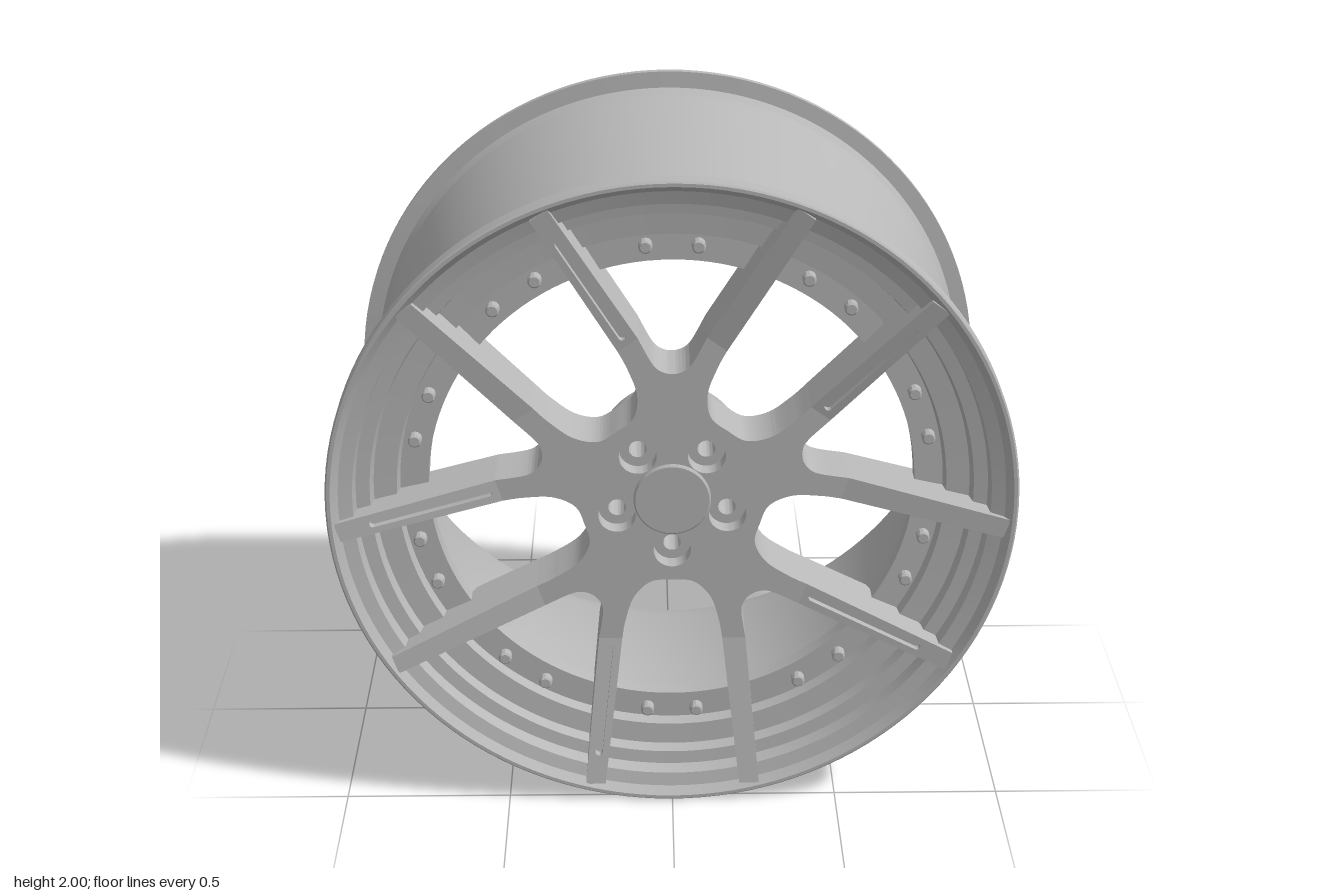
import * as THREE from 'three';
import { toCreasedNormals } from 'three/addons/utils/BufferGeometryUtils.js';

const SECTOR = Math.PI * 2 / 5;
const V = (x, y) => new THREE.Vector2(x, y);
const ORIGIN = V(0, 0);

export function createModel() {
  const metal = new THREE.MeshStandardMaterial({ color: 0xb8b8b8 });
  metal.name = 'satin silver';
  const model = new THREE.Group();
  const wheel = new THREE.Group();
  wheel.name = 'wheel';
  wheel.position.y = 1;
  model.add(wheel);

  const add = (name, geo, parent = wheel) => {
    const mesh = new THREE.Mesh(toCreasedNormals(geo, 0.45), metal);
    mesh.name = name;
    parent.add(mesh);
    return mesh;
  };
  // Revolve [radius, z] points around the axle
  const revolve = (pts, segments = 128) =>
    new THREE.LatheGeometry(pts.map(p => V(p[0], p[1])), segments).rotateX(Math.PI / 2);
  const extrude = (shape, z0, z1) =>
    new THREE.ExtrudeGeometry(shape, { depth: z1 - z0, bevelEnabled: false, curveSegments: 20 })
      .translate(0, 0, z0);
  const circle = (x, y, r, Type = THREE.Path) => {
    const c = new Type();
    c.absarc(x, y, r, 0, Math.PI * 2, false);
    return c;
  };

  // Barrel with outer flanges, drop centre and stepped front lip
  add('rimBarrel', revolve([
    [0.715, 0.32], [0.805, 0.32], [0.83, 0.33], [0.83, 0.33], [0.935, 0.41], [0.935, 0.455],
    [0.945, 0.473], [1, 0.475], [1, 0.525], [0.995, 0.53], [0.985, 0.53], [0.965, 0.505],
    [0.925, 0.495], [0.92, 0.45], [0.88, 0.445], [0.872, 0.41], [0.805, 0.405], [0.798, 0.37],
    [0.715, 0.37], [0.715, 0.32]]));
  add('rimBarrelRear', revolve([
    [0.805, 0.32], [0.805, 0.07], [0.905, -0.43], [0.945, -0.53], [1, -0.53], [1, -0.508],
    [0.95, -0.503], [0.935, -0.48], [0.932, -0.43], [0.83, 0.07], [0.83, 0.33]]));

  // Hub star: five forked arms with wide and narrow rounded openings
  const starShape = (boreR, lugR) => {
    const s = new THREE.Shape();
    const wide = [[-0.14, 0.41], [-0.115, 0.33], [-0.065, 0.277], [0, 0.27],
      [0.065, 0.277], [0.115, 0.33], [0.14, 0.41], [0.15, 0.47]];
    const narrow = [[-0.06, 0.435], [-0.035, 0.408], [0, 0.398],
      [0.035, 0.408], [0.06, 0.435]];
    for (let k = 0; k < 5; k++) {
      const a = Math.PI - k * SECTOR;
      const turn = (p, extra = 0) => V(p[0], p[1]).rotateAround(ORIGIN, a + extra);
      const start = turn([-0.22, 0.47]);
      if (k === 0) s.moveTo(start.x, start.y);
      const inner = turn([-0.15, 0.47]);
      s.lineTo(inner.x, inner.y);
      s.splineThru(wide.map(p => turn(p)));
      const outer = turn([0.22, 0.47]);
      s.lineTo(outer.x, outer.y);
      s.splineThru([...narrow.map(p => turn(p, -SECTOR / 2)), turn([-0.22, 0.47], -SECTOR)]);
    }
    drill(s, boreR, lugR);
    return s;
  };
  // Axle bore and five lug holes
  const drill = (s, boreR, lugR) => {
    s.holes.push(circle(0, 0, boreR));
    for (let k = 0; k < 5; k++) {
      const p = V(0, 0.17).rotateAround(ORIGIN, Math.PI + k * SECTOR);
      s.holes.push(circle(p.x, p.y, lugR));
    }
  };
  add('hubFace', extrude(starShape(0.1, 0.055), 0.4, 0.45));
  add('hubCore', extrude(starShape(0.1, 0.026), 0.28, 0.4));
  const pad = circle(0, 0, 0.22, THREE.Shape);
  drill(pad, 0.1, 0.026);
  add('mountingPad', extrude(pad, 0.115, 0.28));
  add('hubCone', revolve([[0.22, 0.115], [0.268, 0.285]], 64));
  add('centreCap', revolve([[0, 0.4], [0.113, 0.4], [0.113, 0.456], [0.108, 0.461], [0, 0.461]], 64));

  // Spoke edges and front height along the spoke's length
  const V0 = 0.47, V1 = 0.945, PLATE = 0.022;
  const along = v => (v - V0) / (V1 - V0);
  const edges = v => [0.15 + 0.055 * along(v), 0.22 + 0.045 * along(v)];
  const frontZ = v => 0.45 + 0.072 * along(v);

  // Spoke body: rectangular sections whose rear follows the stepped lip
  const spokeBody = side => {
    const stations = [[V0, 0.28], [0.68, 0.3], [0.7, 0.33], [0.77, 0.34], [0.79, 0.38],
      [0.84, 0.4], [0.86, 0.43], [0.89, 0.44], [0.91, 0.475], [V1, 0.495]];
    const pos = [], idx = [];
    for (const [v, back] of stations) {
      const [lo, hi] = edges(v).map(u => u * side).sort((a, b) => a - b);
      const f = frontZ(v) - PLATE;
      pos.push(lo, v, f, hi, v, f, hi, v, back, lo, v, back);
    }
    const last = (stations.length - 1) * 4;
    for (let i = 0; i < last; i += 4)
      for (let j = 0; j < 4; j++) {
        const a = i + j, b = i + (j + 1) % 4;
        idx.push(a, b, b + 4, a, b + 4, a + 4);
      }
    idx.push(0, 2, 1, 0, 3, 2, last, last + 1, last + 2, last, last + 2, last + 3);
    const g = new THREE.BufferGeometry();
    g.setAttribute('position', new THREE.Float32BufferAttribute(pos, 3));
    g.setIndex(idx);
    return g;
  };

  // Spoke face: sloping plate with a long rounded slot
  const spokeFace = side => {
    const [a0, b0] = edges(V0), [a1, b1] = edges(V1);
    const s = new THREE.Shape([V(a0, V0), V(b0, V0), V(b1, V1), V(a1, V1)]
      .map(p => V(p.x * side, p.y)));
    const mid = v => (edges(v)[0] + edges(v)[1]) / 2;
    const w = 0.011, slot = [];
    for (let i = 0; i <= 8; i++) {
      const t = Math.PI * i / 8;
      slot.push(V(side * (mid(0.84) + w * Math.cos(t)), 0.84 + w * Math.sin(t)));
    }
    for (let i = 0; i <= 8; i++) {
      const t = Math.PI * (1 + i / 8);
      slot.push(V(side * (mid(0.5) + w * Math.cos(t)), 0.5 + w * Math.sin(t)));
    }
    s.holes.push(new THREE.Path(slot));
    const g = extrude(s, -PLATE, 0), p = g.attributes.position;
    for (let i = 0; i < p.count; i++) p.setZ(i, p.getZ(i) + frontZ(p.getY(i)));
    return g;
  };

  for (let k = 0; k < 5; k++) {
    const pair = new THREE.Group();
    pair.name = 'spokePair';
    pair.rotation.z = Math.PI + k * SECTOR;
    wheel.add(pair);
    for (const side of [-1, 1]) {
      add('spokeBody', spokeBody(side), pair);
      add('spokeFace', spokeFace(side), pair);
    }
  }

  // Paired bolts around the recessed flange
  for (let k = 0; k < 10; k++)
    for (const side of [-1, 1]) {
      const a = k * Math.PI / 5 + side * 0.098;
      const bolt = add('rimBolt', revolve([[0.02, 0.365], [0.02, 0.395], [0.015, 0.4], [0, 0.4]], 12));
      bolt.position.set(0.765 * Math.sin(a), 0.765 * Math.cos(a), 0);
    }

  return model;
}
